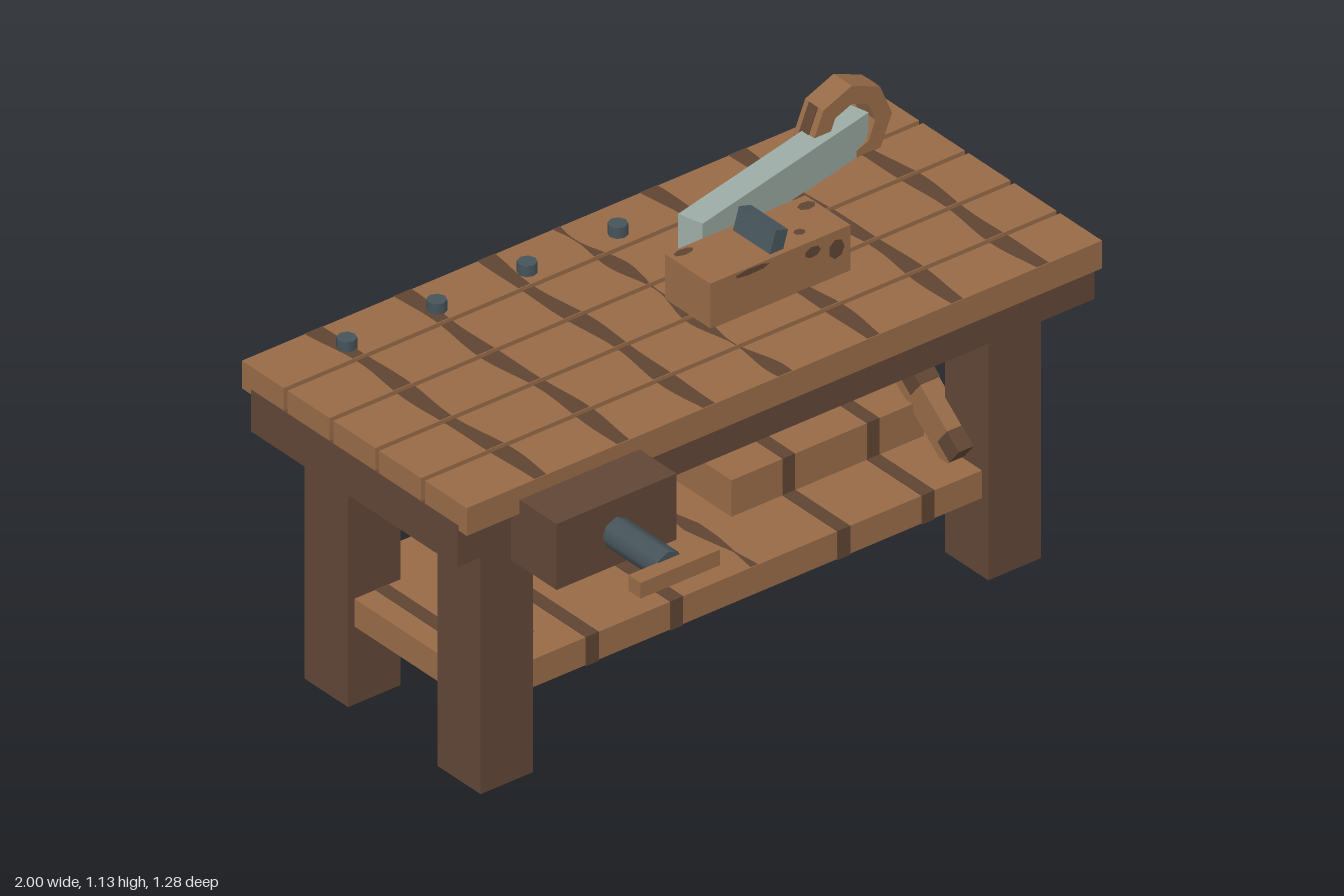
import * as THREE from 'three';

const flat = (name, color, side = THREE.FrontSide) => {
  const m = new THREE.MeshStandardMaterial({ color, side });
  m.name = name;
  return m;
};

export function createModel() {
  const wood = flat('lightWood', 0x966a47);
  const dark = flat('darkWood', 0x604636);
  const grain = flat('woodGrain', 0x5f4432, THREE.DoubleSide);
  const iron = flat('darkIron', 0x46545a);
  const steel = flat('bladeSteel', 0x9daca6);
  const bench = new THREE.Group();
  bench.name = 'workbench';

  const add = (name, geo, mat, x = 0, y = 0, z = 0, parent = bench) => {
    const m = new THREE.Mesh(geo, mat);
    m.name = name;
    m.position.set(x, y, z);
    parent.add(m);
    return m;
  };
  // Box given by its low and high limits on each axis
  const box = (name, mat, x0, x1, y0, y1, z0, z1) =>
    add(name, new THREE.BoxGeometry(x1 - x0, y1 - y0, z1 - z0), mat,
      (x0 + x1) / 2, (y0 + y1) / 2, (z0 + z1) / 2);

  // Wavy grain stripe lying on a horizontal face
  const stripe = (name, x, y, z0, z1, width, phase) => {
    const left = [], right = [], n = 8;
    for (let i = 0; i <= n; i++) {
      const z = z0 + (z1 - z0) * i / n;
      const mid = x + 0.007 * Math.sin(z * 11 + phase);
      const w = width(z);
      left.push(new THREE.Vector2(mid - w, -z));
      right.unshift(new THREE.Vector2(mid + w, -z));
    }
    const geo = new THREE.ShapeGeometry(new THREE.Shape([...left, ...right]));
    add(name, geo.rotateX(-Math.PI / 2), grain, 0, y, 0);
  };
  const evenWidth = z => 0.023 + 0.005 * Math.sin(z * 17);
  const spotWidth = z => 0.002 + 0.023 * Math.cos(Math.PI * (z + 0.1) / 0.31) ** 2;

  // Apron under the top
  box('apron', dark, -1, 1, 0.73, 0.85, -0.6, 0.21);

  // Five top planks with grain
  const stripeX = [-0.77, -0.5, -0.235, -0.005, 0.28, 0.55, 0.81];
  for (let i = 0; i < 5; i++) {
    const z1 = 0.243 - i * 0.1795, z0 = z1 - 0.164;
    box('topPlank', wood, -0.998, 0.998, 0.835, 0.915, z0, z1);
    stripeX.forEach((x, k) =>
      stripe('plankGrain', x, 0.917, z0, z1, k === 3 ? spotWidth : evenWidth, k * 1.7));
  }

  // Legs and diagonal side braces
  for (const s of [-1, 1]) {
    for (const z of [0.065, -0.455])
      add('leg', new THREE.BoxGeometry(0.165, 0.74, 0.17), dark, s * 0.7975, 0.37, z);
    const brace = new THREE.Group();
    brace.name = 'brace';
    brace.position.set(s * 0.7, 0.527, -0.195);
    brace.rotation.x = 0.666;
    bench.add(brace);
    add('braceBar', new THREE.BoxGeometry(0.06, 0.09, 0.655), wood, 0, 0, 0, brace);
    for (const [z, l] of [[0.3, 0.06], [0.1, 0.07], [-0.13, 0.05]])
      add('braceGrain', new THREE.BoxGeometry(0.064, 0.06, l), grain, 0, 0.017, z, brace);
  }

  // Lower shelf with grain bands running round it
  box('shelf', wood, -0.86, 0.86, 0.225, 0.305, -0.51, 0.125);
  for (const x of [-0.775, -0.51, -0.245, 0.28, 0.545])
    box('shelfGrain', grain, x - 0.02, x + 0.02, 0.223, 0.307, -0.512, 0.127);
  stripe('shelfGrainSpot', -0.005, 0.307, -0.51, 0.125, spotWidth, 1);

  // Timber block stored on the shelf
  box('shelfBlock', wood, 0.1, 0.705, 0.305, 0.41, -0.388, -0.09);
  for (const x of [0.28, 0.545])
    box('blockGrain', grain, x - 0.019, x + 0.019, 0.306, 0.412, -0.39, -0.088);
  const knot = add('blockKnot', new THREE.CircleGeometry(1, 8), grain, 0.707, 0.352, -0.195);
  knot.scale.set(0.028, 0.055, 1);
  knot.rotation.y = Math.PI / 2;

  // Vise: jaw, screw and handle
  box('viseJaw', dark, -0.832, -0.455, 0.685, 0.875, 0.21, 0.388);
  add('viseScrew', new THREE.CylinderGeometry(0.043, 0.043, 0.22, 8).rotateX(Math.PI / 2),
    iron, -0.645, 0.78, 0.485);
  box('viseHandle', wood, -0.77, -0.52, 0.758, 0.803, 0.592, 0.64);

  // Bench dogs along the back
  for (const x of [-0.76, -0.477, -0.193, 0.092])
    add('benchDog', new THREE.CylinderGeometry(0.026, 0.026, 0.07, 8), iron, x, 0.911, -0.525);

  // Hand plane with tilted iron and grain patches
  box('planeBody', wood, -0.01, 0.43, 0.915, 1.046, -0.212, -0.035);
  const blade = add('planeIron', new THREE.BoxGeometry(0.04, 0.16, 0.145), iron,
    0.2045, 1.026, -0.123);
  blade.rotation.z = -0.29;
  const patch = (x, y, z, w, h, rx, ry) => {
    const p = add('planeGrain', new THREE.CircleGeometry(1, 7), grain, x, y, z);
    p.scale.set(w, h, 1);
    p.rotation.set(rx, ry, 0);
  };
  patch(0.31, 1.015, -0.033, 0.025, 0.016, 0, 0);
  patch(0.385, 0.995, -0.033, 0.025, 0.028, 0, 0);
  patch(0.12, 1.035, -0.033, 0.055, 0.009, 0, 0);
  patch(0.31, 1.048, -0.085, 0.016, 0.014, -Math.PI / 2, 0);
  patch(0.4, 1.048, -0.17, 0.026, 0.018, -Math.PI / 2, 0);
  patch(0.03, 1.048, -0.19, 0.03, 0.014, -Math.PI / 2, 0);
  patch(0.432, 1.025, -0.12, 0.06, 0.015, 0, Math.PI / 2);

  // Saw: angled blade and octagonal ring grip
  const saw = add('sawBlade', new THREE.BoxGeometry(0.66, 0.11, 0.076), steel,
    0.487, 0.967, -0.408);
  saw.rotation.y = 0.23;
  const octagon = r => Array.from({ length: 8 }, (_, i) =>
    new THREE.Vector2(r * Math.cos(i * Math.PI / 4), r * Math.sin(i * Math.PI / 4)));
  const ring = new THREE.Shape(octagon(0.126));
  ring.holes.push(new THREE.Path(octagon(0.074)));
  add('sawGrip', new THREE.ExtrudeGeometry(ring, { depth: 0.072, bevelEnabled: false }),
    wood, 0.755, 1.002, -0.507);
  // Grain strips on the outer faces of the grip
  for (const a of [-22.5, 22.5, 157.5]) {
    const t = a * Math.PI / 180;
    const strip = add('gripGrain', new THREE.BoxGeometry(0.004, 0.094, 0.034), grain,
      0.755 + 0.1165 * Math.cos(t), 1.002 + 0.1165 * Math.sin(t), -0.473);
    strip.rotation.z = t;
  }
  return bench;
}
